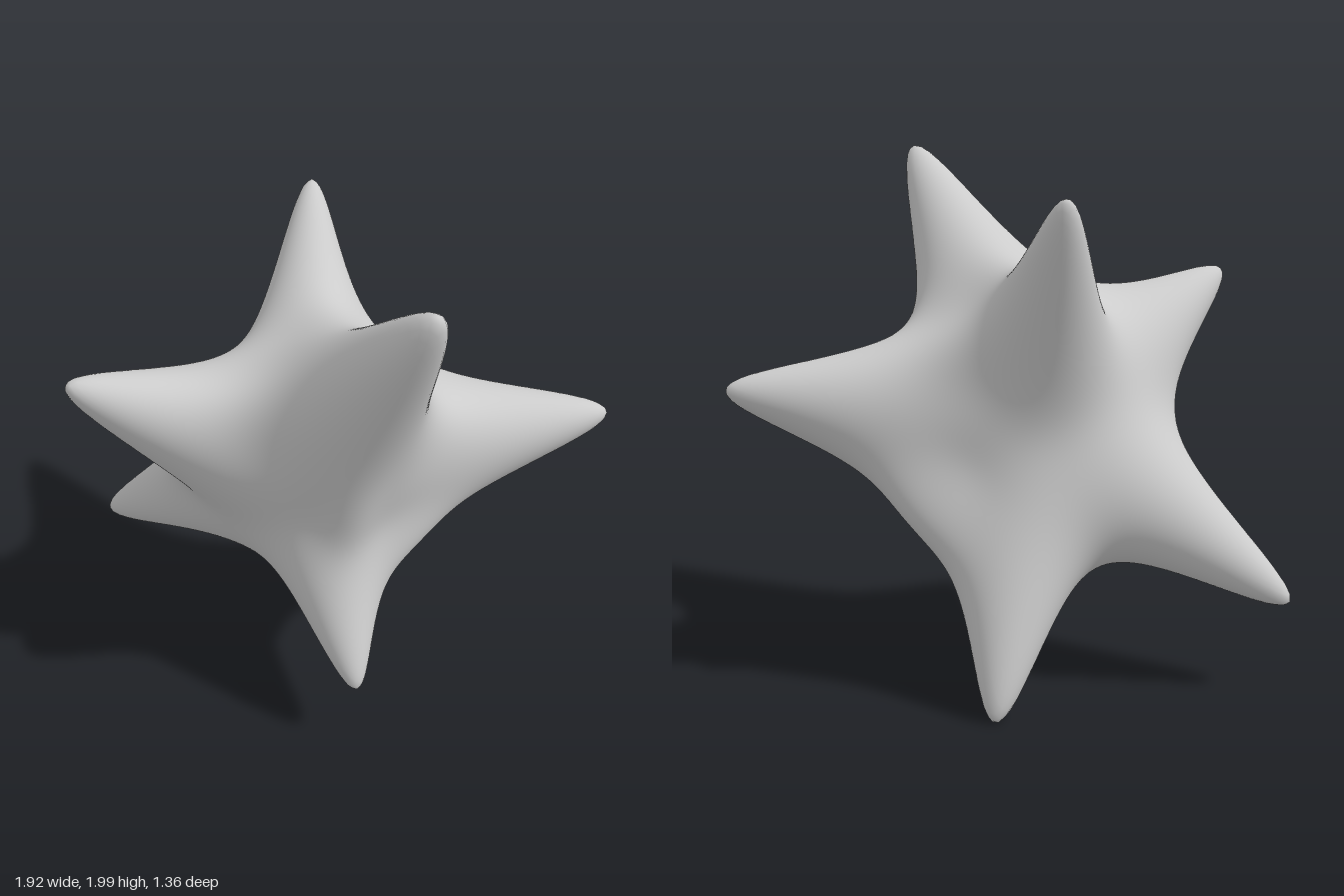
import * as THREE from 'three';
import { mergeVertices } from 'three/addons/utils/BufferGeometryUtils.js';

const CENTRE = new THREE.Vector3(0, 0.96, -0.03);
const BASE = 0.2; // radius of the core before the spikes blend in

// Tip of every spike and how broad its flanks are (degrees)
const SPIKES = [
  { tip: [0.715, 1.99, 0.40], width: 10 },
  { tip: [-0.31, 1.805, -0.61], width: 10 },
  { tip: [-0.525, 1.50, 0.67], width: 13 },
  { tip: [0.955, 1.13, -0.67], width: 12 },
  { tip: [-0.96, 0.35, 0.0], width: 10.5 },
  { tip: [0.46, 0.29, 0.36], width: 11.5 },
  { tip: [-0.06, 0.01, -0.635], width: 10.5 },
];

const spikes = SPIKES.map(({ tip, width }) => {
  const dir = new THREE.Vector3(...tip).sub(CENTRE);
  const length = dir.length();
  return { dir: dir.normalize(), length, width, height: length - BASE };
});

// Raised webs between neighbouring spikes: [spike, spike, height]
const ridges = [
  [0, 1, 0.05], [0, 2, 0.04], [0, 3, 0.03], [0, 5, 0.05], [1, 3, 0.04],
  [2, 4, 0.04], [3, 5, 0.09], [3, 6, 0.17], [5, 6, 0.07],
].map(([a, b, height]) => ({
  mid: spikes[a].dir.clone().add(spikes[b].dir).normalize(),
  across: spikes[a].dir.clone().cross(spikes[b].dir).normalize(),
  height,
}));

// Spike profile over the angle from its axis: rounded tip, concave flank, fading root
function falloff(cos, width) {
  const c = THREE.MathUtils.clamp(cos, -1, 1);
  const angle = THREE.MathUtils.radToDeg(Math.acos(c));
  const rounded = Math.hypot(angle, 4) - 4;
  return Math.pow((1 + c) / 2, 3) / (1 + rounded / width);
}

function radius(dir) {
  let r = BASE;
  for (const s of spikes) r += s.height * falloff(dir.dot(s.dir), s.width);
  for (const w of ridges) {
    const side = dir.dot(w.across) / 0.28;
    const along = (1 - dir.dot(w.mid)) / 0.18;
    r += w.height * Math.exp(-side * side - along);
  }
  return r;
}

// Adjust the heights so the blended spikes still end at their tips
for (let pass = 0; pass < 12; pass++) {
  for (const s of spikes) s.height += s.length - radius(s.dir);
}

export function createModel() {
  const group = new THREE.Group();
  group.name = 'spikedBlob';

  // Fine sphere pushed out along its radii
  let geometry = new THREE.IcosahedronGeometry(1, 64);
  geometry.deleteAttribute('uv');
  geometry.deleteAttribute('normal');
  geometry = mergeVertices(geometry, 1e-5);

  const pos = geometry.attributes.position;
  const v = new THREE.Vector3();
  for (let i = 0; i < pos.count; i++) {
    v.fromBufferAttribute(pos, i).normalize();
    v.multiplyScalar(radius(v)).add(CENTRE);
    pos.setXYZ(i, v.x, v.y, v.z);
  }
  geometry.computeVertexNormals();

  const body = new THREE.Mesh(geometry, new THREE.MeshStandardMaterial({ color: 0xcccccc }));
  body.name = 'spikedBody';
  group.add(body);
  return group;
}
